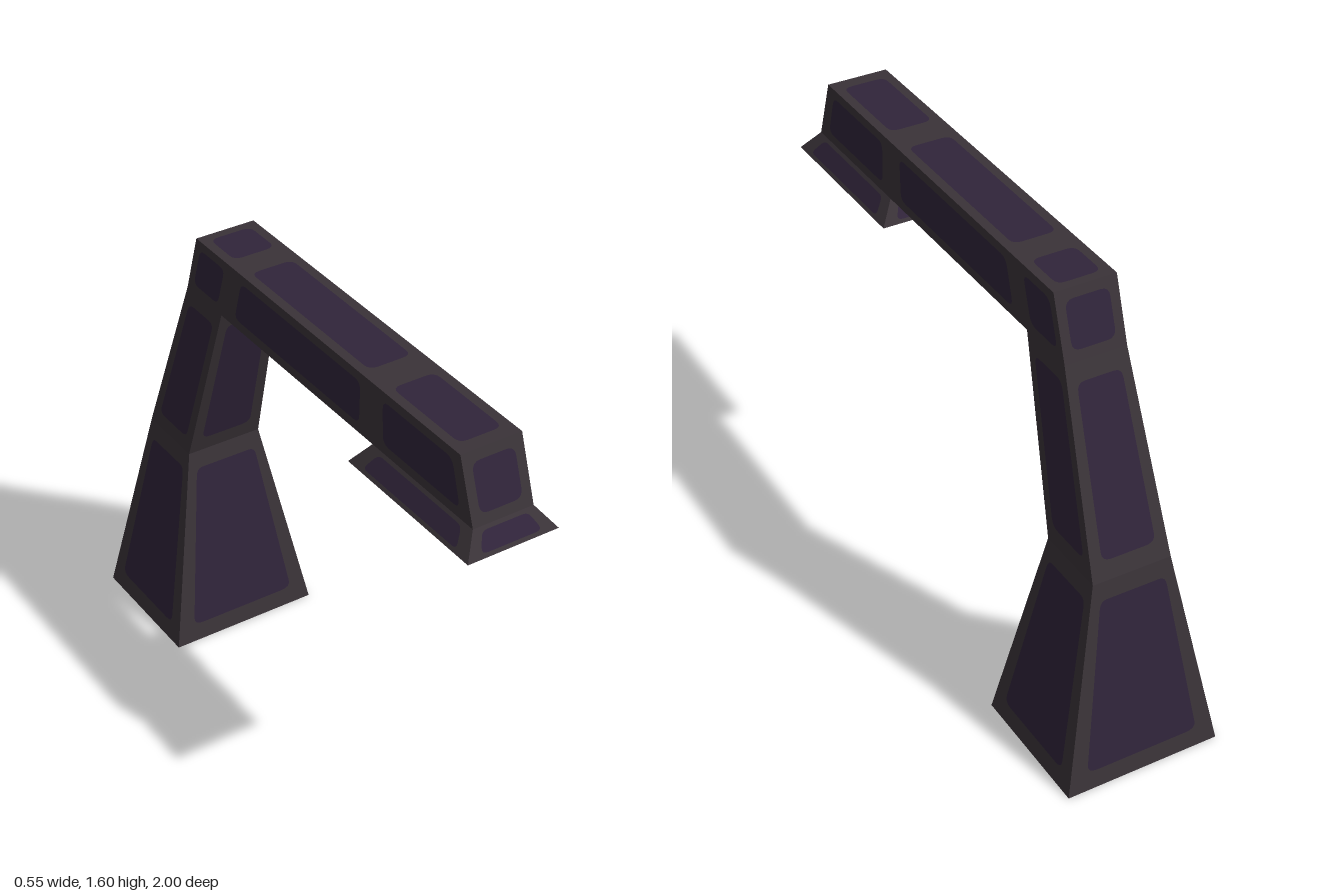
import * as THREE from 'three';
import { mergeGeometries } from 'three/addons/utils/BufferGeometryUtils.js';

const frameMat = new THREE.MeshStandardMaterial({ color: 0x3a3338, side: THREE.DoubleSide });
frameMat.name = 'dark grey frame';
const panelMat = new THREE.MeshStandardMaterial({ color: 0x30243a, side: THREE.DoubleSide });
panelMat.name = 'dark violet panel';

// Four corners of a cross-section: half width, then [y, z] of the inner and outer edge
function ring(w, [y0, z0], [y1, z1]) {
  return [[-w, y0, z0], [w, y0, z0], [w, y1, z1], [-w, y1, z1]].map((p) => new THREE.Vector3(...p));
}

// Rounded rectangle inside the unit square
function roundedPath(path, mu, mv, ru, rv) {
  const u1 = 1 - mu, v1 = 1 - mv;
  path.moveTo(mu + ru, mv);
  path.lineTo(u1 - ru, mv);
  path.quadraticCurveTo(u1, mv, u1, mv + rv);
  path.lineTo(u1, v1 - rv);
  path.quadraticCurveTo(u1, v1, u1 - ru, v1);
  path.lineTo(mu + ru, v1);
  path.quadraticCurveTo(mu, v1, mu, v1 - rv);
  path.lineTo(mu, mv + rv);
  path.quadraticCurveTo(mu, mv, mu + ru, mv);
  return path;
}

// Stretches a flat unit-square shape over the quad a, b, c, d
function overQuad(shape, [a, b, c, d]) {
  const geo = new THREE.ShapeGeometry(shape, 4);
  const pos = geo.attributes.position;
  const low = new THREE.Vector3(), high = new THREE.Vector3();
  for (let i = 0; i < pos.count; i++) {
    low.lerpVectors(a, b, pos.getX(i));
    high.lerpVectors(d, c, pos.getX(i));
    low.lerp(high, pos.getY(i));
    pos.setXYZ(i, low.x, low.y, low.z);
  }
  geo.computeVertexNormals();
  return geo;
}

// One quad as a border and its inset rounded panel
function framedFace(quad, frames, panels) {
  const [a, b, c, d] = quad;
  const width = (a.distanceTo(b) + d.distanceTo(c)) / 2;
  const height = (a.distanceTo(d) + b.distanceTo(c)) / 2;
  const margin = (size) => Math.min(0.15 * size, 0.025 + 0.055 * size) / size;
  const mu = margin(width), mv = margin(height);
  const radius = Math.min(0.03, 0.2 * Math.min(width, height));
  const args = [mu, mv, radius / width, radius / height];
  const border = new THREE.Shape([[0, 0], [1, 0], [1, 1], [0, 1]].map((p) => new THREE.Vector2(...p)));
  border.holes.push(roundedPath(new THREE.Path(), ...args));
  frames.push(overQuad(border, quad));
  panels.push(overQuad(roundedPath(new THREE.Shape(), ...args), quad));
}

// Section between two rings; sides: 0 inner, 1 left, 2 outer, 3 right
function section(name, from, to, sides, cap = false) {
  const frames = [], panels = [];
  for (const i of sides) {
    const j = (i + 1) % 4;
    framedFace([from[i], from[j], to[j], to[i]], frames, panels);
  }
  if (cap) framedFace(to, frames, panels);
  const group = new THREE.Group();
  group.name = name;
  const frame = new THREE.Mesh(mergeGeometries(frames), frameMat);
  frame.name = name + 'Frame';
  const panel = new THREE.Mesh(mergeGeometries(panels), panelMat);
  panel.name = name + 'Panels';
  group.add(frame, panel);
  return group;
}

export function createModel() {
  const model = new THREE.Group();
  model.name = 'angularSpout';
  const w = 0.108;

  // Leg rings, from the floor up
  const foot = ring(0.277, [0, -0.515], [0, -1]);
  const knee = ring(0.14, [0.73, -0.625], [0.73, -0.885]);
  const shoulder = ring(w, [1.38, -0.43], [1.38, -0.645]);
  const elbowTop = ring(w, [1.595, -0.36], [1.595, -0.575]);

  // Arm rings, from the elbow forward
  const armStart = ring(w, [1.38, -0.43], [1.595, -0.36]);
  const headStart = ring(w, [1.38, 0.44], [1.595, 0.44]);
  const headEnd = ring(w, [1.38, 0.945], [1.595, 0.872]);

  // Flared open outlet under the head
  const lip = ring(0.162, [1.31, 1], [1.31, 0.39]);
  const neck = ring(w, [1.38, 0.945], [1.38, 0.44]);

  const all = [0, 1, 2, 3], openInside = [1, 2, 3];
  model.add(
    section('base', foot, knee, all),
    section('upperLeg', knee, shoulder, all),
    section('elbow', shoulder, elbowTop, openInside, true),
    section('arm', armStart, headStart, all),
    section('head', headStart, headEnd, openInside, true),
    section('outlet', lip, neck, all)
  );
  return model;
}
